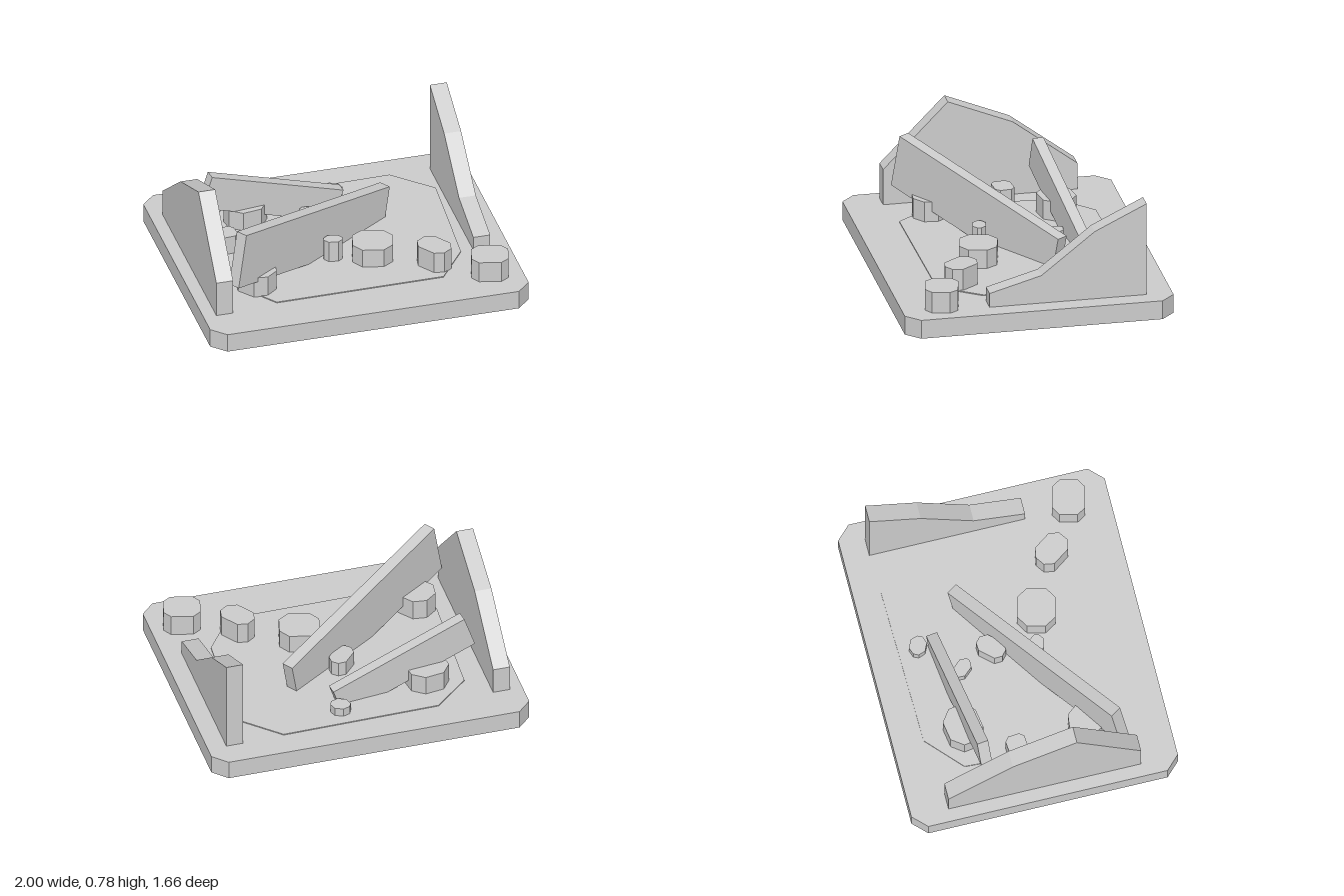
import * as THREE from 'three';

const rad = THREE.MathUtils.degToRad;

// Flat slab standing on y: outline given as [x, z] points
function slab(points, y0, y1, material, name) {
  const shape = new THREE.Shape(points.map(([x, z]) => new THREE.Vector2(x, -z)));
  const geo = new THREE.ExtrudeGeometry(shape, { depth: y1 - y0, bevelEnabled: false });
  geo.rotateX(-Math.PI / 2);
  const mesh = new THREE.Mesh(geo, material);
  mesh.position.y = y0;
  mesh.name = name;
  return mesh;
}

// Rectangle with cut corners
function cutRect(w, d, c) {
  const a = w / 2, b = d / 2;
  return [[a - c, b], [a, b - c], [a, c - b], [a - c, -b], [c - a, -b], [-a, c - b], [-a, b - c], [c - a, b]];
}

// Upright wall: profile given as [z, y] points, extruded along x
function wall(points, x0, x1, material, name) {
  const shape = new THREE.Shape(points.map(([z, y]) => new THREE.Vector2(-z, y)));
  const geo = new THREE.ExtrudeGeometry(shape, { depth: x1 - x0, bevelEnabled: false });
  geo.rotateY(Math.PI / 2);
  const mesh = new THREE.Mesh(geo, material);
  mesh.position.x = x0;
  mesh.name = name;
  return mesh;
}

// Tilted, turned plank
function plank(size, position, turn, tilt, material, name) {
  const mesh = new THREE.Mesh(new THREE.BoxGeometry(...size), material);
  mesh.position.set(...position);
  mesh.rotation.set(0, rad(turn), rad(tilt));
  mesh.name = name;
  return mesh;
}

export function createModel() {
  const group = new THREE.Group();
  group.name = 'ruinedFloor';
  const stone = new THREE.MeshStandardMaterial({ color: 0xcccccc, flatShading: true });
  stone.name = 'paleStone';

  // Base with cut corners and a thin raised floor patch
  group.add(slab(cutRect(2, 1.66, 0.085), 0.02, 0.14, stone, 'base'));
  group.add(slab([
    [-0.53, 0.56], [0.52, 0.55], [0.7, 0.3], [0.75, -0.44],
    [0.52, -0.66], [-0.46, -0.64], [-0.68, -0.44], [-0.72, 0.3],
  ], 0.139, 0.146, stone, 'floorPatch'));

  // Broken walls
  group.add(wall([
    [0.6, 0.13], [-0.6, 0.13], [-0.6, 0.31], [-0.2, 0.615], [0.2, 0.78], [0.6, 0.37],
  ], -0.92, -0.815, stone, 'rightWall'));
  group.add(wall([
    [0.3, 0.13], [-0.67, 0.13], [-0.67, 0.735], [-0.35, 0.58], [-0.02, 0.32], [0.3, 0.23],
  ], 0.778, 0.884, stone, 'leftWall'));

  // Fallen slabs
  group.add(plank([1.367, 0.348, 0.075], [-0.205, 0.313, 0.137], 33.9, -12, stone, 'longFallenSlab'));
  group.add(plank([0.91, 0.215, 0.07], [-0.305, 0.297, -0.38], 7, -19, stone, 'shortFallenSlab'));

  // Rubble: x, z, width, depth, corner cut, turn, top height
  const rubble = [
    [-0.46, -0.395, 0.25, 0.215, 0.065, 9, 0.27],
    [0.125, -0.53, 0.12, 0.1, 0.033, -25, 0.2],
    [-0.08, -0.305, 0.13, 0.085, 0.03, -48, 0.2],
    [-0.67, -0.108, 0.145, 0.12, 0.025, 5, 0.265],
    [-0.003, -0.107, 0.18, 0.115, 0.035, 48, 0.24],
    [-0.598, 0.347, 0.24, 0.21, 0.06, -52, 0.275],
    [-0.065, 0.165, 0.115, 0.08, 0.028, -10, 0.283],
    [0.168, 0.218, 0.245, 0.23, 0.058, -14, 0.265],
    [0.505, 0.397, 0.215, 0.155, 0.045, -55, 0.283],
    [0.803, 0.578, 0.225, 0.2, 0.045, -14, 0.275],
  ];
  rubble.forEach(([x, z, w, d, c, turn, top], i) => {
    const block = slab(cutRect(w, d, c), 0.138, top, stone, `rubbleBlock${i + 1}`);
    block.position.x = x;
    block.position.z = z;
    block.rotation.y = rad(turn);
    group.add(block);
  });

  return group;
}
